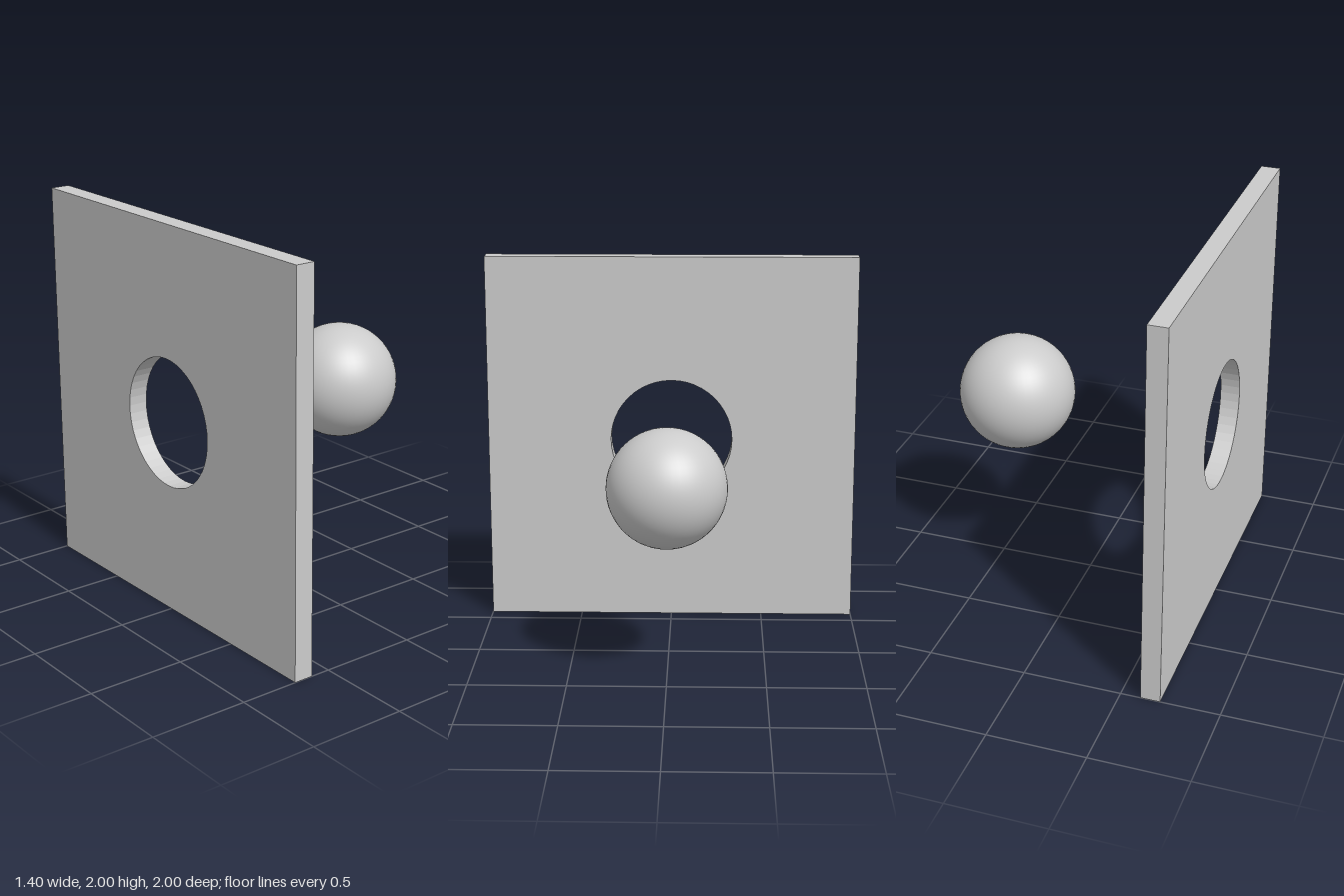
import * as THREE from 'three';

export function createModel() {
  const group = new THREE.Group();
  const material = new THREE.MeshStandardMaterial({ color: 0xcccccc });

  // Square upright panel with a round hole through its centre
  const size = 2, thickness = 0.1, holeRadius = 0.33;
  const h = size / 2;
  const outline = new THREE.Shape();
  outline.moveTo(-h, -h).lineTo(h, -h).lineTo(h, h).lineTo(-h, h).closePath();
  outline.holes.push(new THREE.Path().absarc(0, 0, holeRadius, 0, Math.PI * 2, true));

  const panelGeometry = new THREE.ExtrudeGeometry(outline, {
    depth: thickness, bevelEnabled: false, curveSegments: 24,
  });
  panelGeometry.rotateY(Math.PI / 2); // thickness runs along x
  const panel = new THREE.Mesh(panelGeometry, material);
  panel.name = 'panelWithHole';
  panel.position.set(-0.7, 1, 0);
  group.add(panel);

  // Smooth ball level with the hole
  const ball = new THREE.Mesh(new THREE.SphereGeometry(0.3, 48, 32), material);
  ball.name = 'ball';
  ball.position.set(0.4, 1, 0);
  group.add(ball);

  return group;
}
